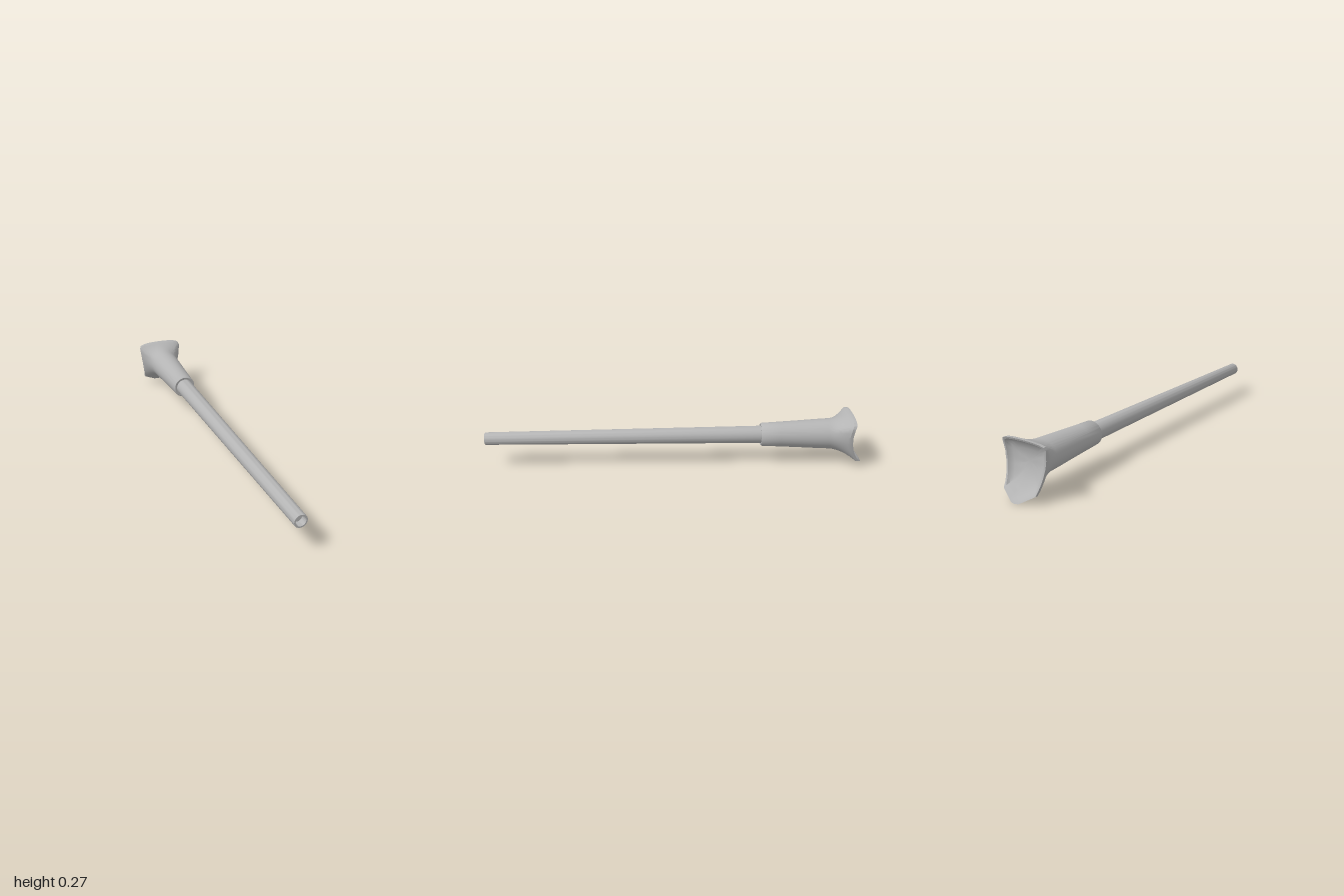
import * as THREE from 'three';
import { toCreasedNormals } from 'three/addons/utils/BufferGeometryUtils.js';

const AXIS_Y = 0.163; // height of the long axis

// Right half of the shield-shaped head, top to bottom
const HALF = [
  [0, 0.274], [0.06, 0.272], [0.094, 0.268], [0.118, 0.26], [0.125, 0.245],
  [0.116, 0.17], [0.105, 0.107], [0.092, 0.042], [0.058, 0.023], [0.022, 0.003], [0, 0],
];

// z of the curved back rim at a given height
const RIM = [[0, -1], [0.03, -0.975], [0.06, -0.952], [0.1, -0.932], [0.15, -0.919],
  [0.2, -0.916], [0.245, -0.923], [0.28, -0.937]];
function rimZ(y) {
  let i = 0;
  while (i < RIM.length - 2 && y > RIM[i + 1][0]) i++;
  const [y0, z0] = RIM[i], [y1, z1] = RIM[i + 1];
  return z0 + (z1 - z0) * (y - y0) / (y1 - y0);
}

// Full outline, counter-clockwise seen from the front, each edge subdivided
function shieldOutline() {
  const left = HALF.slice(0, -1).map(([x, y]) => [-x, y]);
  const right = HALF.slice(1).reverse();
  const loop = [...left, ...right];
  const out = [];
  loop.forEach(([x, y], i) => {
    const [nx, ny] = loop[(i + 1) % loop.length];
    for (let k = 0; k < 3; k++) {
      out.push(new THREE.Vector2(x + (nx - x) * k / 3, y + (ny - y) * k / 3 - AXIS_Y));
    }
  });
  return out;
}

// Skin consecutive rings and close the last one with a centre point
function loft(rings, end) {
  const n = rings[0].length, pos = [], idx = [];
  rings.forEach(r => r.forEach(p => pos.push(...p)));
  for (let i = 0; i < rings.length - 1; i++) {
    for (let j = 0; j < n; j++) {
      const k = (j + 1) % n, a = i * n + j, b = i * n + k;
      idx.push(a, a + n, b, b, a + n, b + n);
    }
  }
  const base = (rings.length - 1) * n, c = rings.length * n;
  pos.push(...end);
  for (let j = 0; j < n; j++) idx.push(base + j, c, base + (j + 1) % n);
  const g = new THREE.BufferGeometry();
  g.setAttribute('position', new THREE.Float32BufferAttribute(pos, 3));
  g.setIndex(idx);
  return toCreasedNormals(g, 0.65);
}

function headGeometry() {
  const outline = shieldOutline();
  const rings = [];
  const circle = (r, z) => rings.push(outline.map(p => {
    const s = r / p.length();
    return [p.x * s, AXIS_Y + p.y * s, z];
  }));
  const shield = (s, dz) => rings.push(outline.map(p => {
    const y = AXIS_Y + p.y * s;
    return [p.x * s, y, rimZ(y) + dz];
  }));

  // sleeve end and tapering sleeve
  circle(0.042, -0.452);
  circle(0.057, -0.45);
  circle(0.061, -0.455);
  circle(0.066, -0.55);
  circle(0.072, -0.66);
  circle(0.077, -0.74);
  circle(0.08, -0.8);

  // flare from circle to shield
  const steps = 10;
  for (let i = 1; i <= steps; i++) {
    const t = i / steps;
    rings.push(outline.map(p => {
      const R = p.length(), s = (0.08 + (R - 0.08) * Math.pow(t, 1.9)) / R;
      const edge = rimZ(AXIS_Y + p.y) + 0.016;
      return [p.x * s, AXIS_Y + p.y * s, -0.8 + (edge + 0.8) * t];
    }));
  }

  // rim and dished back
  shield(1, 0);
  shield(0.92, 0);
  shield(0.86, 0.012);
  shield(0.74, 0.02);
  shield(0.5, 0.026);
  shield(0.25, 0.028);
  return loft(rings, [0, AXIS_Y, rimZ(AXIS_Y) + 0.028]);
}

// Tapered shaft with a shallow bore in its front end
function shaftGeometry() {
  const profile = [[0.046, -0.47], [0.033, 0.998], [0.032, 1], [0.025, 1], [0.024, 0.965], [0, 0.965]]
    .map(([r, z]) => new THREE.Vector2(r, z));
  const g = new THREE.LatheGeometry(profile, 32);
  g.rotateX(Math.PI / 2);
  g.translate(0, AXIS_Y, 0);
  return toCreasedNormals(g, 0.65);
}

export function createModel() {
  const grey = new THREE.MeshStandardMaterial({ color: 0xb4b4b4 });
  grey.name = 'plain grey';

  const model = new THREE.Group();
  model.name = 'shaftWithFlaredHead';
  const add = (name, geometry) => {
    const mesh = new THREE.Mesh(geometry, grey);
    mesh.name = name;
    model.add(mesh);
  };
  add('shaft', shaftGeometry());
  add('sleeveAndFlaredHead', headGeometry());
  return model;
}
